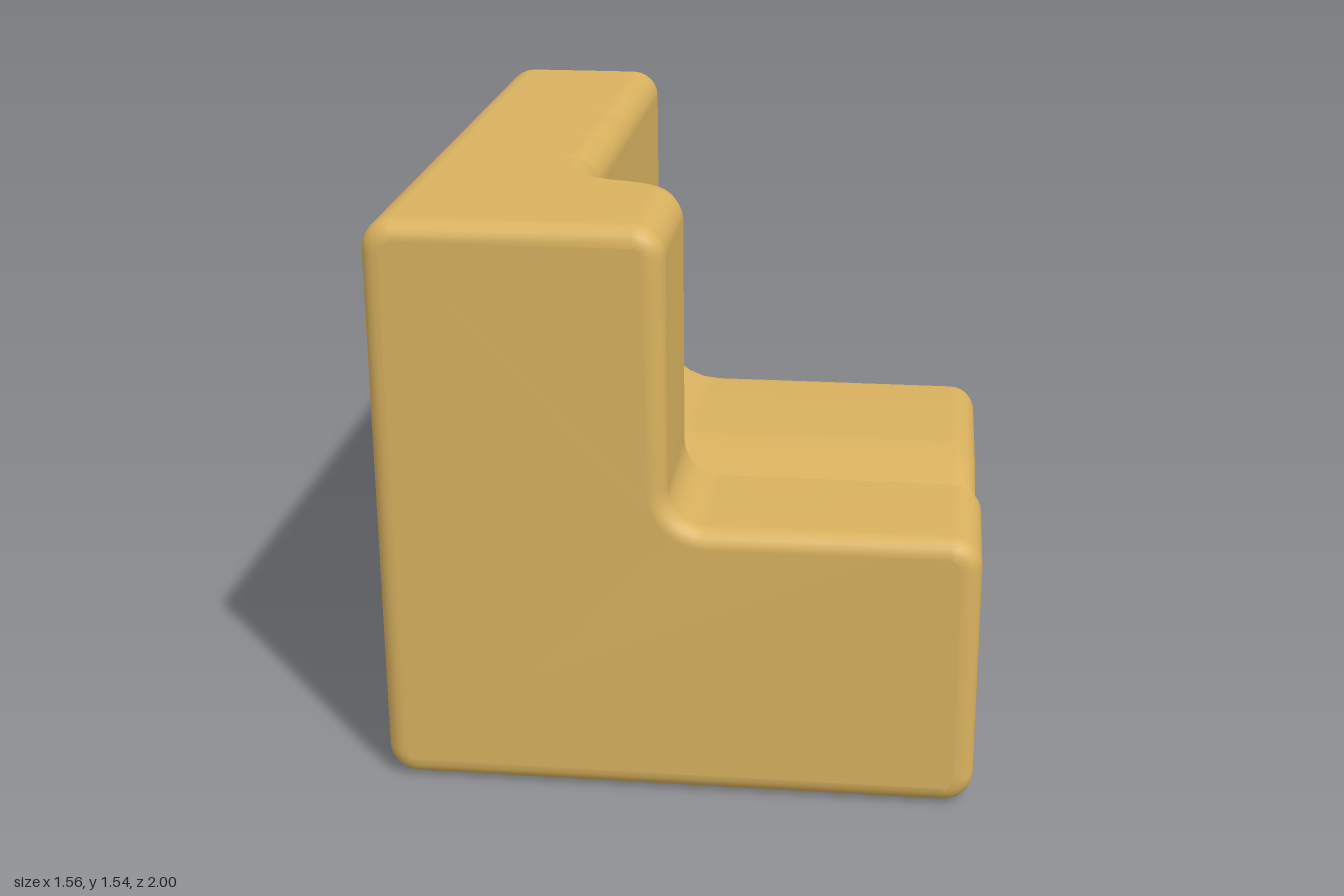
import * as THREE from 'three';

const HALF_W = 0.78, TOP = 1.54, EDGE = 0.08, ARC = 6;

// Stations from front to back: z, wall face x, seat height, rim radius
const stations = [
  [0.95, -0.02, 0.75], [0.61, -0.02, 0.75], [0.575, -0.03, 0.735], [0.55, -0.06, 0.7],
  [0.535, -0.1, 0.65], [0.525, -0.14, 0.58], [0.5, -0.2, 0.51], [0.45, -0.25, 0.455],
  [0.4, -0.275, 0.43], [0.34, -0.29, 0.42],
  [0.29, -0.29, 0.424], [0.28, -0.29, 0.425, 0.11], [0.27, -0.29, 0.427],
  [0.01, -0.29, 0.478], [0, -0.29, 0.48, 0.115], [-0.01, -0.29, 0.482],
  [-0.15, -0.29, 0.512], [-0.28, -0.29, 0.525], [-0.29, -0.29, 0.525, 0.115], [-0.3, -0.29, 0.525],
  [-0.6, -0.29, 0.507], [-0.9, -0.29, 0.485],
];

// L-shaped section with rounded corners, shrunk inwards by d
function section([, wall, seat, rim = EDGE], d) {
  const pts = [];
  const arc = (x, y, r, from, to) => {
    for (let i = 0; i <= ARC; i++) {
      const a = Math.PI * (from + (to - from) * i / ARC);
      pts.push(new THREE.Vector2(x + r * Math.cos(a), y + r * Math.sin(a)));
    }
  };
  const r = Math.max(EDGE - d, 0.025), q = Math.max(rim - d, 0.025);
  const inner = 0.1 + 0.1 * (-0.02 - wall) / 0.27 + d;
  const L = -HALF_W + d, R = HALF_W - d, T = TOP - d, W = wall - d, S = seat - d;
  arc(L + r, d + r, r, 1, 1.5);
  arc(R - r, d + r, r, 1.5, 2);
  arc(R - q, S - q, q, 0, 0.5);
  arc(W + inner, S + inner, inner, 1.5, 1);
  arc(W - q, T - q, q, 0, 0.5);
  arc(L + r, T - r, r, 0.5, 1);
  return pts;
}

// Full run of sections including the rounded front and back ends
function buildRings() {
  const rings = [];
  const first = stations[0], last = stations[stations.length - 1];
  for (let i = 0; i < 5; i++) {
    const a = i / 5 * Math.PI / 2;
    rings.push({ z: 1 - 0.05 * (1 - Math.cos(a)), pts: section(first, 0.05 * (1 - Math.sin(a))) });
  }
  for (const s of stations) rings.push({ z: s[0], pts: section(s, 0), straight: true });
  for (let i = 1; i <= 6; i++) {
    const a = i / 6 * Math.PI / 2;
    rings.push({ z: -0.9 - 0.1 * Math.sin(a), pts: section(last, 0.1 * (1 - Math.cos(a))) });
  }
  return rings;
}

// Shell skinned over the rings, leaving the flat right-hand strip open
function shellGeometry(rings) {
  const n = rings[0].pts.length, sideEdge = 2 * ARC + 1;
  const pos = [], kept = [], all = [];
  for (const { z, pts } of rings) for (const p of pts) pos.push(p.x, p.y, z);
  for (let i = 0; i < rings.length - 1; i++) {
    for (let j = 0; j < n; j++) {
      const a = i * n + j, b = i * n + (j + 1) % n;
      const quad = [a, a + n, b, b, a + n, b + n];
      all.push(...quad);
      const open = j === sideEdge && rings[i].straight && rings[i + 1].straight;
      if (!open) kept.push(...quad);
    }
  }
  const back = (rings.length - 1) * n;
  const caps = [];
  for (const [a, b, c] of THREE.ShapeUtils.triangulateShape(rings[0].pts, [])) caps.push(a, b, c);
  for (const [a, b, c] of THREE.ShapeUtils.triangulateShape(rings[rings.length - 1].pts, [])) {
    caps.push(back + a, back + c, back + b);
  }
  const geo = new THREE.BufferGeometry();
  geo.setAttribute('position', new THREE.Float32BufferAttribute(pos, 3));
  geo.setIndex([...all, ...caps]);
  geo.computeVertexNormals();
  geo.setIndex([...kept, ...caps]);
  return geo;
}

// Flat right-hand panel with the rounded triangular opening
function panelGeometry(rings) {
  const straight = rings.filter((r) => r.straight);
  const edge = (r, k) => new THREE.Vector2(-r.z, r.pts[k].y);
  const lower = straight.map((r) => edge(r, 2 * ARC + 1));
  const upper = straight.map((r) => edge(r, 2 * ARC + 2)).reverse();
  const shape = new THREE.Shape([...lower, ...upper]);
  const opening = [
    [0.31, 0.44], [0.77, 0.085], [0.81, 0.09], [0.86, 0.13],
    [0.895, 0.2], [0.895, 0.31], [0.86, 0.375], [0.8, 0.405],
  ].map(([x, y]) => new THREE.Vector2(x, y));
  shape.holes.push(new THREE.Path(opening));
  return new THREE.ShapeGeometry(shape);
}

export function createModel() {
  const group = new THREE.Group();
  group.name = 'steppedSeat';
  const ochre = new THREE.MeshStandardMaterial({ color: 0xd9b25f, side: THREE.DoubleSide });
  ochre.name = 'ochre';
  const rings = buildRings();

  const shell = new THREE.Mesh(shellGeometry(rings), ochre);
  shell.name = 'seatShell';
  group.add(shell);

  const panel = new THREE.Mesh(panelGeometry(rings), ochre);
  panel.name = 'sidePanel';
  panel.rotation.y = Math.PI / 2;
  panel.position.x = HALF_W;
  group.add(panel);
  return group;
}
